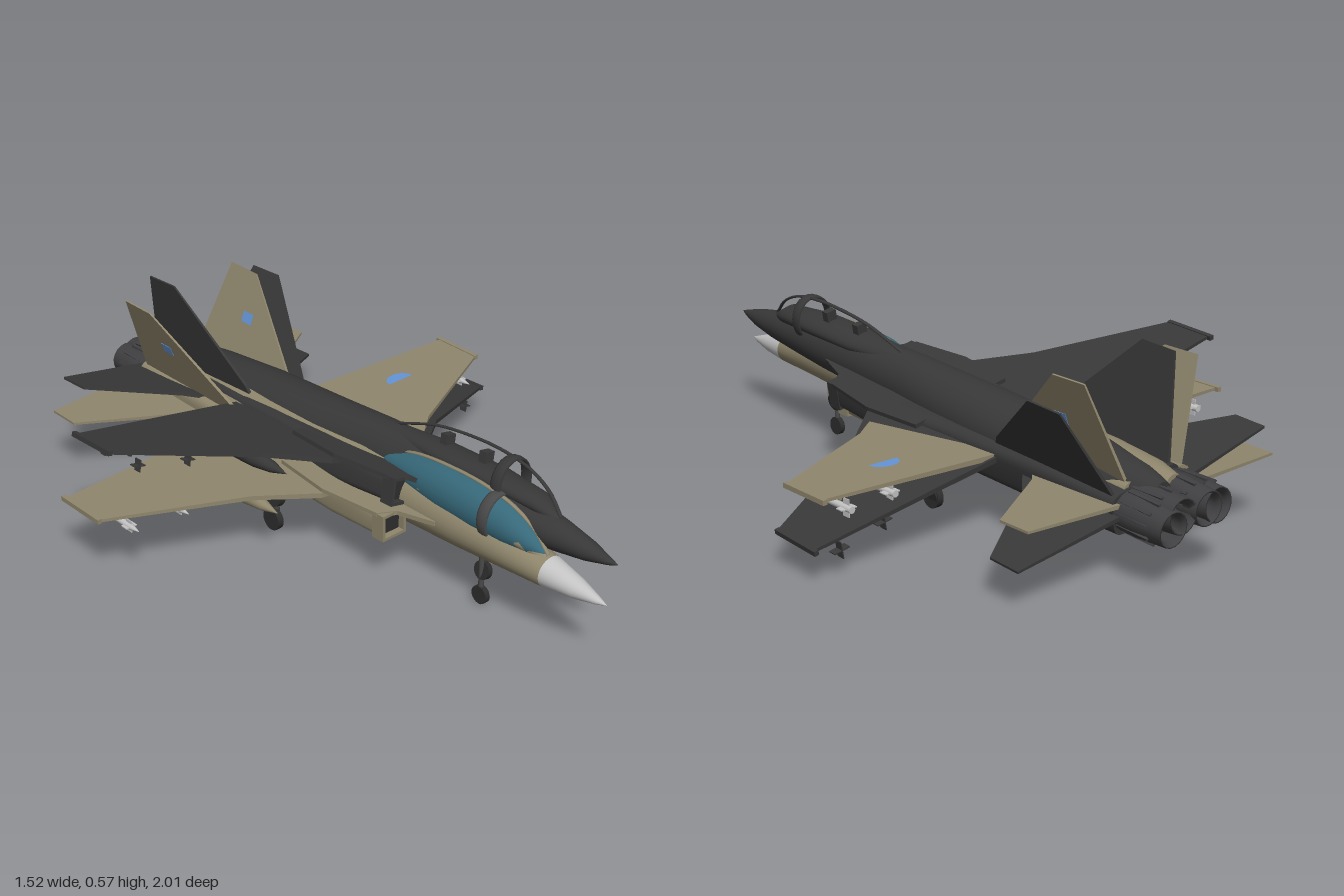
import * as THREE from 'three';

const mat = (name, color, side = THREE.FrontSide) => {
  const m = new THREE.MeshStandardMaterial({ color, side });
  m.name = name;
  return m;
};

// Loft of superellipse rings; section = [z, xCentre, yCentre, halfWidth, halfHeight]
function loft(sections, power = 2, n = 28) {
  const pos = [], idx = [];
  for (const [z, cx, cy, w, h] of sections) {
    for (let j = 0; j < n; j++) {
      const a = (j / n) * Math.PI * 2, c = Math.cos(a), s = Math.sin(a);
      pos.push(cx + w * Math.sign(c) * Math.abs(c) ** (2 / power),
        cy + h * Math.sign(s) * Math.abs(s) ** (2 / power), z);
    }
  }
  for (let i = 0; i < sections.length - 1; i++) {
    for (let j = 0; j < n; j++) {
      const k = (j + 1) % n, a = i * n + j, b = i * n + k;
      idx.push(a, a + n, b, b, a + n, b + n);
    }
  }
  // end caps with their own vertices
  [0, sections.length - 1].forEach((row, end) => {
    const base = pos.length / 3;
    for (let j = 0; j < n; j++) pos.push(...pos.slice((row * n + j) * 3, (row * n + j) * 3 + 3));
    for (let j = 1; j < n - 1; j++) {
      if (end) idx.push(base, base + j + 1, base + j);
      else idx.push(base, base + j, base + j + 1);
    }
  });
  const g = new THREE.BufferGeometry();
  g.setAttribute('position', new THREE.Float32BufferAttribute(pos, 3));
  g.setIndex(idx);
  g.computeVertexNormals();
  return g;
}

// Flat panel from (x, z) corners, thinning towards its tip
function panel(points, side, thick, span) {
  const shape = new THREE.Shape(points.map(([x, z]) => new THREE.Vector2(side * x, -z)));
  const g = new THREE.ExtrudeGeometry(shape, { depth: thick, bevelEnabled: false });
  g.translate(0, 0, -thick / 2).rotateX(-Math.PI / 2);
  const p = g.attributes.position;
  for (let i = 0; i < p.count; i++) p.setY(i, p.getY(i) * (1 - 0.5 * Math.abs(p.getX(i)) / span));
  g.computeVertexNormals();
  return g;
}

function rod(a, b, r) {
  const from = new THREE.Vector3(...a), to = new THREE.Vector3(...b);
  const d = to.clone().sub(from);
  const g = new THREE.CylinderGeometry(r, r, d.length(), 10);
  g.applyQuaternion(new THREE.Quaternion().setFromUnitVectors(new THREE.Vector3(0, 1, 0), d.normalize()));
  return g.translate(...from.add(to).multiplyScalar(0.5).toArray());
}

function buildJet(name, c, complete) {
  const jet = new THREE.Group();
  jet.name = name;
  const add = (part, geometry, material) => {
    const m = new THREE.Mesh(geometry, material);
    m.name = part;
    jet.add(m);
    return m;
  };

  // fuselage and radome
  add('radome', loft([[1, 0, 0, 0.001, 0.001], [0.97, 0, 0, 0.012, 0.011],
    [0.9, 0, 0.003, 0.031, 0.029], [0.8, 0, 0.008, 0.048, 0.045]]), c.nose);
  add('fuselage', loft([[0.8, 0, 0.008, 0.048, 0.045], [0.65, 0, 0.018, 0.066, 0.062],
    [0.5, 0, 0.02, 0.076, 0.074], [0.3, 0, 0.02, 0.08, 0.085], [0.1, 0, 0.014, 0.086, 0.096],
    [-0.1, 0, 0.006, 0.1, 0.097], [-0.4, 0, 0.003, 0.11, 0.095], [-0.65, 0, 0, 0.1, 0.085],
    [-0.82, 0, 0.005, 0.07, 0.066], [-0.9, 0, 0.01, 0.035, 0.045]]), c.body);

  // cockpit sill, canopy frame and seats
  add('cockpitSill', loft([[0.79, 0, 0.045, 0.012, 0.012], [0.72, 0, 0.07, 0.042, 0.028],
    [0.55, 0, 0.083, 0.058, 0.03], [0.35, 0, 0.086, 0.058, 0.03], [0.12, 0, 0.085, 0.03, 0.024]]), c.body);
  const canopy = [[0.79, 0, 0.05, 0.006, 0.006], [0.74, 0, 0.072, 0.036, 0.036],
    [0.66, 0, 0.085, 0.054, 0.062], [0.55, 0, 0.09, 0.062, 0.075], [0.42, 0, 0.09, 0.062, 0.075],
    [0.3, 0, 0.09, 0.055, 0.062], [0.2, 0, 0.09, 0.038, 0.034], [0.13, 0, 0.09, 0.015, 0.012]];
  if (complete) add('canopyGlass', loft(canopy), c.glass);
  const ridge = new THREE.CatmullRomCurve3(canopy.map(([z, , y, , h]) => new THREE.Vector3(0, y + h, z)));
  add('canopyRidge', new THREE.TubeGeometry(ridge, 32, 0.004, 8).scale(1.6, 1, 1), c.body);
  const hoop = new THREE.TorusGeometry(0.061, 0.005, 8, 32).scale(1, 1.17, 4);
  add('canopyHoop', hoop.translate(0, 0.089, 0.6), c.metal);
  for (const z of [0.5, 0.35]) add('seat', new THREE.BoxGeometry(0.034, 0.045, 0.025).translate(0, 0.122, z), c.metal);

  // nose gear
  add('noseLeg', rod([0, -0.03, 0.55], [0, -0.17, 0.55], 0.008), c.metal);
  add('noseWheel', new THREE.CylinderGeometry(0.028, 0.028, 0.016, 20).rotateZ(Math.PI / 2).translate(0, -0.19, 0.55), c.tyre);
  add('noseGearDoor', new THREE.BoxGeometry(0.006, 0.05, 0.08).translate(0.02, -0.065, 0.53), c.body);

  for (const s of [1, -1]) {
    // engine trunk with a framed, dark intake mouth
    add('engineTrunk', loft([[0.3, s * 0.12, -0.016, 0.042, 0.039], [0.1, s * 0.11, -0.02, 0.054, 0.048],
      [-0.2, s * 0.085, -0.025, 0.056, 0.058], [-0.55, s * 0.07, -0.022, 0.062, 0.064],
      [-0.84, s * 0.065, -0.018, 0.06, 0.06]], 4), c.body);
    const lip = new THREE.Shape([[-1, -1], [1, -1], [1, 1], [-1, 1]].map(([x, y]) => new THREE.Vector2(x * 0.044, y * 0.041)));
    lip.holes.push(new THREE.Path([[-1, -1], [-1, 1], [1, 1], [1, -1]].map(([x, y]) => new THREE.Vector2(x * 0.035, y * 0.032))));
    add('intakeLip', new THREE.ExtrudeGeometry(lip, { depth: 0.045, bevelEnabled: false }).translate(s * 0.12, -0.016, 0.28), c.body);
    add('intakeMouth', new THREE.BoxGeometry(0.07, 0.064, 0.004).translate(s * 0.12, -0.016, 0.303), c.tyre);

    // exhaust nozzle
    const nozzle = [[0.03, 0], [0.038, 0.15], [0.046, 0.165], [0.05, 0.165], [0.058, 0.06], [0.058, 0]].reverse();
    add('nozzle', new THREE.LatheGeometry(nozzle.map(([r, y]) => new THREE.Vector2(r, y)), 18)
      .rotateX(-Math.PI / 2).translate(s * 0.065, -0.018, -0.833), c.nozzle);
    add('nozzleCore', new THREE.CircleGeometry(0.045, 18).rotateY(Math.PI).translate(s * 0.065, -0.018, -0.92), c.tyre);
    for (let i = 0; i < 10; i++) {
      const a = (i / 10) * Math.PI * 2;
      add('nozzlePetal', new THREE.BoxGeometry(0.008, 0.014, 0.11)
        .translate(0, 0.053, -0.9).rotateZ(a).translate(s * 0.065, -0.018, 0), c.nozzle);
    }

    // wing, leading edge extension and tail surfaces
    add('wing', panel([[0.06, 0.12], [0.19, 0.1], [0.35, -0.024], [0.735, -0.21], [0.735, -0.37], [0.06, -0.405]], s, 0.018, 0.74), c.body)
      .position.y = 0.005;
    add('wingRootExtension', panel([[0.04, 0.45], [0.08, 0.44], [0.115, 0.33], [0.165, 0.3], [0.19, 0.1], [0.17, -0.1], [0.04, -0.1]], s, 0.016, 0.4), c.body)
      .position.y = 0.022;
    add('wingTipRail', new THREE.BoxGeometry(0.014, 0.014, 0.175).translate(s * 0.738, 0.005, -0.295), c.body);
    add('tailplane', panel([[0.08, -0.48], [0.13, -0.5], [0.2, -0.575], [0.455, -0.735], [0.455, -0.84], [0.06, -0.865]], s, 0.014, 0.46), c.body)
      .position.y = -0.01;
    const fin = new THREE.Group();
    fin.name = 'tailFin';
    fin.position.set(s * 0.095, 0.02, 0);
    fin.rotation.z = s * 1.2;
    fin.add(new THREE.Mesh(panel([[0, -0.36], [0.05, -0.39], [0.31, -0.655], [0.31, -0.775], [0, -0.83]], s, 0.01, 0.31), c.body));
    if (complete) fin.add(new THREE.Mesh(new THREE.BoxGeometry(0.034, 0.0095, 0.045).translate(s * 0.17, 0, -0.64), c.blue));
    jet.add(fin);

    // main gear
    add('mainLeg', rod([s * 0.12, -0.05, -0.1], [s * 0.17, -0.115, -0.13], 0.011), c.metal);
    add('mainStrut', rod([s * 0.168, -0.105, -0.13], [s * 0.162, -0.185, -0.135], 0.009), c.metal);
    add('mainWheel', new THREE.CylinderGeometry(0.035, 0.035, 0.02, 22).rotateZ(Math.PI / 2).translate(s * 0.176, -0.185, -0.135), c.tyre);

    // drop tank on its pylon
    add('dropTank', loft([[0.03, s * 0.297, -0.042, 0.001, 0.001], [-0.03, s * 0.297, -0.042, 0.017, 0.017],
      [-0.1, s * 0.297, -0.042, 0.025, 0.025], [-0.2, s * 0.297, -0.042, 0.025, 0.025],
      [-0.28, s * 0.297, -0.042, 0.014, 0.014], [-0.33, s * 0.297, -0.042, 0.001, 0.001]], 2, 18), c.body);
    add('tankPylon', new THREE.BoxGeometry(0.01, 0.03, 0.16).translate(s * 0.297, -0.012, -0.17), c.body);

    // missiles with crossed fins
    for (const [x, z] of [[0.49, -0.13], [0.65, -0.15]]) {
      add('missilePylon', new THREE.BoxGeometry(0.008, 0.026, 0.1).translate(s * x, -0.012, z - 0.13), c.body);
      if (complete) {
        add('missile', loft([[z, s * x, -0.038, 0.001, 0.001], [z - 0.035, s * x, -0.038, 0.01, 0.01],
          [z - 0.23, s * x, -0.038, 0.01, 0.01]], 2, 14), c.nose);
      }
      for (const [dz, w] of [[0.045, 0.036], [0.205, 0.05]]) {
        for (const turn of [0, Math.PI / 2]) {
          add('missileFin', new THREE.BoxGeometry(w, 0.003, 0.025).rotateZ(turn).translate(s * x, -0.038, z - dz),
            complete ? c.nose : c.body);
        }
      }
    }
  }

  // wing marking
  if (complete) {
    add('wingMarking', new THREE.CircleGeometry(0.048, 20, 0, Math.PI).rotateX(-Math.PI / 2)
      .scale(1, 1, 0.85).translate(0.445, 0.0125, -0.248), c.blue);
  }
  return jet;
}

export function createModel() {
  const tan = mat('tan paint', 0x8f866c), dark = mat('charcoal paint', 0x383838);
  const shared = {
    metal: mat('dark metal', 0x4a4a4a), tyre: mat('tyre black', 0x2e2e2e), nozzle: mat('nozzle grey', 0x404042),
    glass: mat('teal glass', 0x37697a), blue: mat('marking blue', 0x6595d8, THREE.DoubleSide),
  };
  const model = new THREE.Group();
  model.name = 'jetPair';

  // level jet and a second one rolled and pitched through it
  const level = buildJet('tanJet', { ...shared, body: tan, nose: mat('light grey', 0xc4c4c4) }, true);
  level.position.set(-0.015, 0.22, 0);
  const banked = buildJet('darkJet', { ...shared, body: dark, nose: dark, metal: dark }, false);
  banked.position.set(0.03, 0.264, -0.008);
  banked.rotation.set(-0.056, 0, -0.211);
  model.add(level, banked);
  return model;
}
